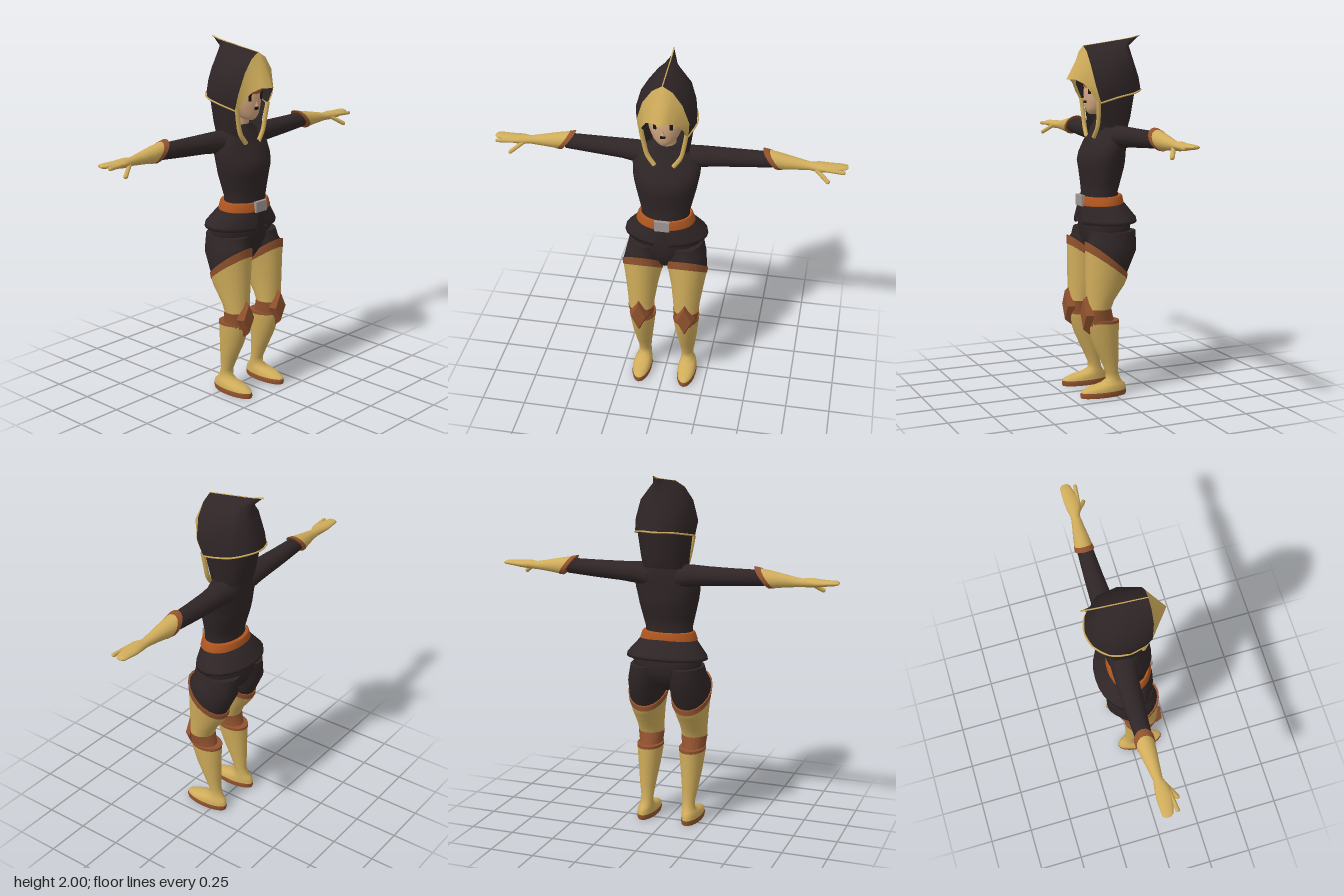
import * as THREE from 'three';
import { mergeVertices } from 'three/addons/utils/BufferGeometryUtils.js';

const mat = (name, color) => Object.assign(new THREE.MeshStandardMaterial({ color, side: THREE.DoubleSide }), { name });

// Geometry from a grid of points; wrap joins the last column to the first.
function gridGeometry(rows, wrap = false, caps = false) {
  const n = rows[0].length, pos = rows.flat(2), idx = [];
  for (let r = 0; r < rows.length - 1; r++) {
    for (let c = 0; c < (wrap ? n : n - 1); c++) {
      const d = (c + 1) % n, a = r * n + c, b = r * n + d;
      idx.push(a, b, b + n, a, b + n, a + n);
    }
  }
  if (caps) {
    [rows[0], rows[rows.length - 1]].forEach((ring, end) => {
      const base = pos.length / 3;
      pos.push(...ring.flat());
      pos.push(...[0, 1, 2].map(k => ring.reduce((s, p) => s + p[k], 0) / n));
      for (let c = 0; c < n; c++) {
        const d = (c + 1) % n;
        idx.push(base + n, base + (end ? c : d), base + (end ? d : c));
      }
    });
  }
  const g = new THREE.BufferGeometry();
  g.setAttribute('position', new THREE.Float32BufferAttribute(pos, 3));
  g.setIndex(idx);
  g.computeVertexNormals();
  return g;
}

// Loft of ellipses, rising in y: [y, cx, cz, rx, rz, tilt by x, tilt by z]
function loft(rings, n = 20) {
  return gridGeometry(rings.map(([y, cx, cz, rx, rz, tx = 0, tz = 0]) =>
    Array.from({ length: n }, (_, i) => {
      const a = i / n * Math.PI * 2, s = Math.sin(a), c = Math.cos(a);
      return [cx + rx * s, y + tx * s + tz * c, cz + rz * c];
    })), true, true);
}

// Loft laid along +x: [x, centre y, centre z, half height, half depth, tilt]
const limb = rings => loft(rings.map(([x, y, z, v, d, t = 0]) => [x, -y, z, v, d, t]), 16).rotateZ(-Math.PI / 2);

// Rows given from one side to the centre line, completed by mirroring
const mirrorRow = row => [...row, ...row.slice(0, -1).reverse().map(([x, y, z]) => [-x, y, z])];
const shell = rows => gridGeometry(rows.map(mirrorRow));

function tube(points, r, segs = 24) {
  const curve = new THREE.CatmullRomCurve3(points.map(p => new THREE.Vector3(...p)), false, 'centripetal');
  return new THREE.TubeGeometry(curve, segs, r, 6);
}

function flipped(geo) {
  const g = geo.clone().scale(-1, 1, 1), ix = g.index.array;
  for (let i = 0; i < ix.length; i += 3) [ix[i], ix[i + 1]] = [ix[i + 1], ix[i]];
  return g;
}

export function createModel() {
  const dark = mat('darkCloth', 0x2f2526), gold = mat('goldLeather', 0xd0ad5b), brown = mat('brownTrim', 0x92532f);
  const orange = mat('beltOrange', 0xb0561f), skin = mat('skin', 0xd2a77f), grey = mat('buckleGrey', 0xa29895);
  const black = mat('eyeBlack', 0x1c1413);

  const model = new THREE.Group(), figure = new THREE.Group();
  figure.name = 'figure';
  figure.rotation.y = Math.PI / 2; // the figure faces +x
  model.add(figure);
  const add = (name, geo, material) => {
    const m = new THREE.Mesh(geo, material);
    m.name = name;
    figure.add(m);
  };
  const pair = (name, geo, material) => {
    const g = geo.index ? geo : mergeVertices(geo);
    add(name + 'Left', g, material);
    add(name + 'Right', flipped(g), material);
  };

  // Torso, pelvis and belt
  add('torso', loft([
    [1.06, 0, .02, .14, .105], [1.14, 0, .025, .135, .095], [1.2, 0, .02, .15, .105], [1.27, 0, .015, .167, .118],
    [1.31, 0, .015, .175, .125], [1.36, 0, .008, .185, .118], [1.42, 0, -.012, .19, .102], [1.47, 0, -.025, .172, .09],
    [1.51, 0, -.03, .12, .08], [1.54, 0, -.03, .075, .07]], 24), dark);
  add('pelvis', loft([[.785, 0, .02, .03, .06], [.83, 0, .0, .12, .105], [.9, 0, -.005, .195, .132],
    [.98, 0, -.005, .198, .135], [1.08, 0, .015, .15, .11]], 24), dark);
  const skirtRow = (a0, rx, cz, rz, y0, y1) => Array.from({ length: 13 }, (_, i) => {
    const a = a0 + (Math.PI - a0) * i / 12;
    return [rx * Math.sin(a), y0 + (y1 - y0) * i / 12, cz + rz * Math.cos(a)];
  });
  add('skirt', shell([skirtRow(.25, .2, -.01, .14, .97, .98), skirtRow(.19, .235, -.01, .162, .965, .982),
    skirtRow(.17, .232, -.01, .16, .985, 1.0), skirtRow(.02, .155, .018, .118, 1.075, 1.09)]), dark);
  add('belt', loft([[1.07, 0, .02, .163, .122, 0, -.004], [1.075, 0, .02, .166, .124, 0, -.004],
    [1.115, 0, .02, .152, .117, 0, -.004], [1.12, 0, .02, .146, .112, 0, -.004]], 24), orange);
  add('buckle', new THREE.BoxGeometry(.085, .06, .02).translate(0, 1.094, .14), grey);

  // Legs: thigh, tall stocking with slanted hem, knee band, boot and foot
  pair('thigh', loft([[.72, .128, .04, .1, .1, 0, .07], [.78, .128, .038, .112, .114, 0, .09],
    [.85, .122, .0, .106, .138, 0, .03], [.93, .11, -.005, .1, .135]]), dark);
  pair('stocking', loft([[.49, .131, .09, .072, .068], [.55, .131, .078, .077, .08], [.65, .131, .048, .092, .112, 0, .02],
    [.745, .128, .042, .111, .117, 0, .088]]), gold);
  pair('stockingHem', loft([[.742, .128, .042, .113, .119, 0, .087], [.782, .128, .04, .119, .12, 0, .098]]), brown);
  pair('kneeBand', loft([[.4, .129, .07, .066, .082], [.45, .13, .082, .068, .078], [.505, .131, .088, .076, .07]]), brown);
  pair('boot', loft([[.03, .135, .058, .054, .138], [.042, .135, .055, .053, .132], [.058, .134, .035, .049, .108],
    [.07, .132, .01, .043, .07], [.09, .128, -.002, .037, .042], [.13, .127, .004, .036, .036],
    [.2, .129, .02, .046, .051], [.3, .129, .044, .06, .075], [.4, .128, .06, .072, .093],
    [.435, .128, .062, .075, .096, 0, .006]]), gold);
  pair('bootRim', loft([[.422, .128, .062, .0755, .0965, 0, .006], [.438, .128, .062, .0755, .0965, 0, .006]]), brown);
  pair('sole', loft([[0, .135, .06, .053, .136], [.015, .135, .06, .056, .14], [.03, .135, .058, .054, .138]]), brown);
  const pad = new THREE.CylinderGeometry(.72, 1, .04, 4).rotateX(Math.PI / 2).scale(.058, .118, 1).toNonIndexed();
  pad.computeVertexNormals();
  pair('kneePad', pad.translate(.133, .475, .16), brown);

  // Arms: sleeve, slanted cuff, glove
  pair('sleeve', limb([[.08, 1.44, -.035, .07, .075], [.17, 1.45, -.045, .06, .068], [.25, 1.454, -.052, .054, .06],
    [.4, 1.458, -.056, .049, .052], [.57, 1.465, -.058, .043, .043]]), dark);
  pair('cuffTrim', limb([[.558, 1.468, -.06, .058, .054, .044], [.588, 1.466, -.06, .054, .05, .04]]), brown);
  pair('glove', limb([[.586, 1.466, -.06, .052, .049, .04], [.64, 1.461, -.058, .043, .043, .015],
    [.7, 1.456, -.055, .033, .034], [.77, 1.452, -.052, .023, .025], [.82, 1.455, -.046, .025, .04],
    [.87, 1.455, -.047, .02, .043], [.93, 1.459, -.055, .014, .034], [.96, 1.46, -.058, .011, .028],
    [.972, 1.46, -.058, .004, .015]]), gold);
  const finger = (from, to, r) => {
    const a = new THREE.Vector3(...from), b = new THREE.Vector3(...to), d = b.clone().sub(a);
    const q = new THREE.Quaternion().setFromUnitVectors(new THREE.Vector3(0, 1, 0), d.clone().normalize());
    return new THREE.CapsuleGeometry(r, d.length(), 4, 8).applyQuaternion(q).translate(...a.add(b).multiplyScalar(.5).toArray());
  };
  pair('indexFinger', finger([.84, 1.457, -.015], [.95, 1.455, -.004], .011), gold);
  pair('thumb', finger([.81, 1.446, -.02], [.872, 1.405, .02], .012), gold);

  // Head and face
  add('neck', loft([[1.5, 0, -.02, .05, .05], [1.62, 0, -.01, .05, .055]]), skin);
  add('head', loft([[1.57, 0, .05, .025, .035], [1.582, 0, .042, .045, .055], [1.605, 0, .03, .068, .075],
    [1.65, 0, .015, .09, .094], [1.7, 0, .01, .1, .1], [1.78, 0, 0, .092, .092]]), skin);
  add('hair', loft([[1.716, 0, .008, .103, .104], [1.75, 0, .006, .103, .103], [1.81, 0, 0, .075, .075]]), brown);
  add('nose', new THREE.ConeGeometry(.012, .03, 4).translate(0, 1.665, .11), skin);
  add('mouth', new THREE.BoxGeometry(.026, .014, .008).translate(0, 1.636, .109), black);
  pair('eye', new THREE.BoxGeometry(.016, .036, .008).rotateY(.4).translate(.044, 1.698, .101), black);
  pair('lash', new THREE.BoxGeometry(.03, .009, .008).rotateY(.45).translate(.05, 1.715, .1), black);

  // Hood: pointed shell, peaked front, piping and cowl
  const hood = [
    [[.13, 1.635, .07], [.16, 1.665, -.02], [.145, 1.685, -.12], [.08, 1.7, -.19], [0, 1.7, -.21]],
    [[.14, 1.73, .105], [.165, 1.75, 0], [.14, 1.76, -.12], [.075, 1.77, -.18], [0, 1.77, -.195]],
    [[.105, 1.84, .12], [.135, 1.85, 0], [.115, 1.86, -.11], [.06, 1.86, -.155], [0, 1.86, -.17]],
    [[.055, 1.91, .122], [.065, 1.925, 0], [.06, 1.935, -.1], [.035, 1.945, -.135], [0, 1.94, -.155]],
    [[0, 1.943, .12], [0, 1.957, .02], [0, 1.975, -.1], [0, 1.985, -.16], [0, 2, -.22]]];
  add('hood', shell(hood), dark);
  const outer = hood.map(row => row[0]);
  const inner = [[.118, 1.635, .085], [.112, 1.69, .12], [.083, 1.737, .15], [.045, 1.76, .185], [0, 1.76, .22]];
  add('hoodPeak', shell([outer, inner]), gold);
  add('hoodHemPiping', tube(mirrorRow(hood[0]), .005, 48), gold);
  add('hoodRidgePiping', tube(hood[4].map(([x, y, z]) => [x, y - .003, z]), .004), gold);
  add('cowl', shell([
    [[.055, 1.45, .07], [.12, 1.48, .01], [.11, 1.49, -.09], [.06, 1.49, -.12], [0, 1.49, -.125]],
    [[.098, 1.55, .06], [.132, 1.55, -.01], [.118, 1.55, -.1], [.065, 1.55, -.135], [0, 1.55, -.145]],
    [[.12, 1.645, .065], [.15, 1.67, -.02], [.135, 1.69, -.11], [.07, 1.7, -.16], [0, 1.7, -.172]]]), dark);
  pair('hoodTail', tube([[.122, 1.65, .08], [.108, 1.57, .075], [.09, 1.5, .075], [.052, 1.445, .08]], .013), gold);

  return model;
}
